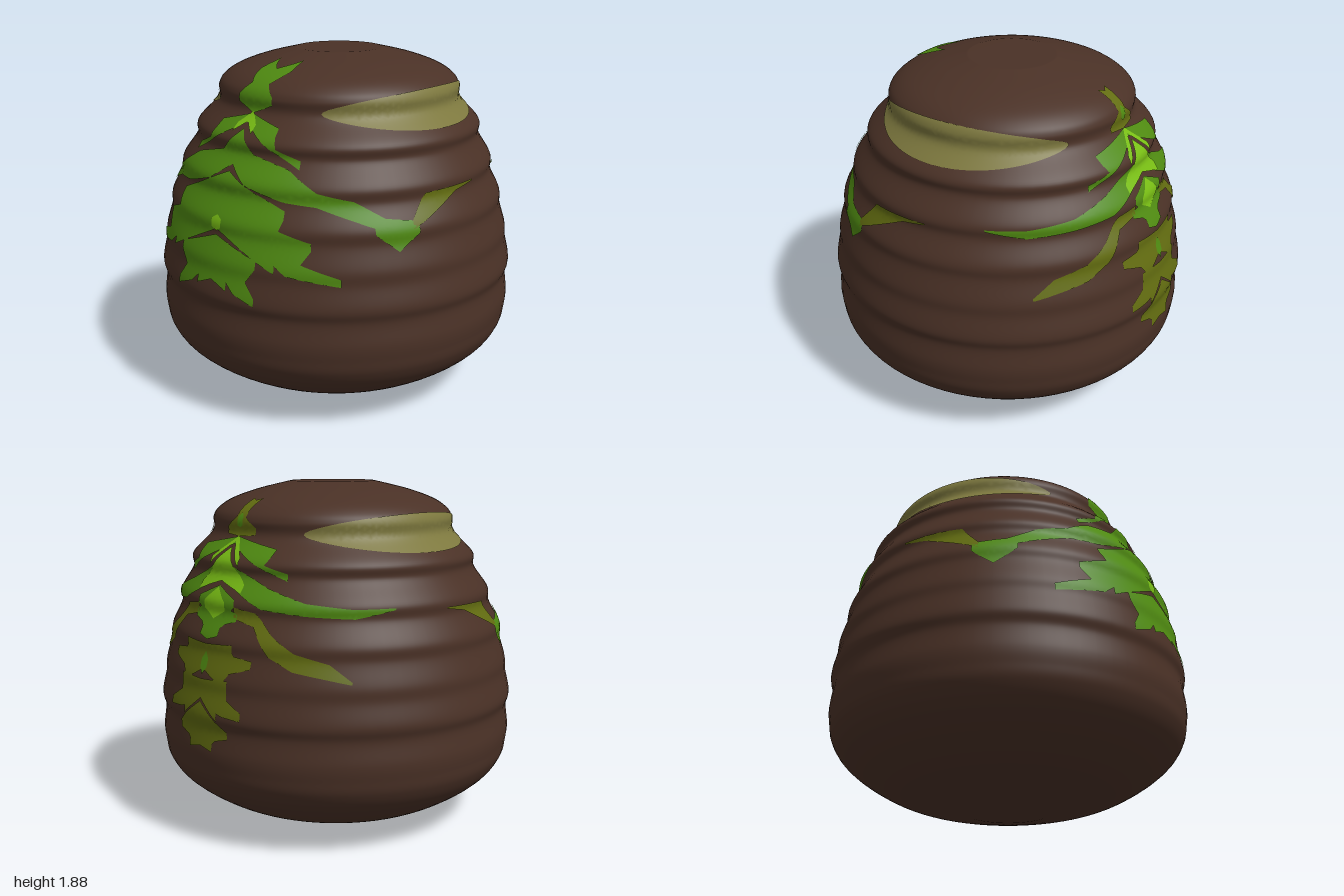
import * as THREE from 'three';

const paint = (name, color) => Object.assign(new THREE.MeshStandardMaterial({ color }), { name });

// Outer profile, bottom to top: rounded foot, seven coils with a notch above each, domed top
function makeProfile() {
  const points = [[0.25, 0], [0.43, 0.035], [0.63, 0.09], [0.79, 0.175], [0.91, 0.27], [0.97, 0.36], [0.988, 0.44]];
  const coils = [0.995, 0.998, 0.968, 0.928, 0.865, 0.785, 0.668];
  coils.forEach((r, i) => {
    const y = 0.52 + 0.195 * i;
    points.push([r, y]);
    if (i < coils.length - 1) points.push([Math.min(coils[i + 1] + 0.006, r - 0.012), y + 0.117]);
  });
  points.push([0.637, 1.74], [0.56, 1.79], [0.42, 1.84], [0.235, 1.885]);
  return new THREE.SplineCurve(points.map(([r, y]) => new THREE.Vector2(r, y))).getPoints(240);
}
const PROFILE = makeProfile();

function radius(y) {
  let i = 1;
  while (i < PROFILE.length - 1 && PROFILE[i].y < y) i++;
  const a = PROFILE[i - 1], b = PROFILE[i];
  return THREE.MathUtils.mapLinear(y, a.y, b.y, a.x, b.x);
}

// The upper coils lean slightly sideways
const lean = (y) => 0.026 * THREE.MathUtils.smoothstep(y, 1.1, 1.6);

function surfaceNormal(angle, y) {
  const slope = (radius(y + 0.008) - radius(y - 0.008)) / 0.016;
  return new THREE.Vector3(Math.sin(angle), -slope, Math.cos(angle)).normalize();
}

function surfacePoint(angle, y, lift) {
  const r = radius(y);
  return new THREE.Vector3(r * Math.sin(angle) + lean(y), y, r * Math.cos(angle))
    .addScaledVector(surfaceNormal(angle, y), lift);
}

// Thin patch that follows the coils; outline is [angle from centre, height]
function patch(name, material, outline, centre, lift) {
  const flat = new THREE.ShapeGeometry(new THREE.Shape(outline.map(([a, y]) => new THREE.Vector2(a, y))));
  const pos = flat.attributes.position, index = flat.index.array;
  const vertex = (a, y) => ({ a, y, p: surfacePoint(centre + a, y, lift) });
  const points = [], normals = [];
  // Halve the longest edge until the pieces are small enough to bend over the coils
  const split = (tri, depth) => {
    const len = [0, 1, 2].map((i) => tri[i].p.distanceTo(tri[(i + 1) % 3].p));
    const longest = len.indexOf(Math.max(...len));
    if (len[longest] > 0.035 && depth < 16) {
      const a = tri[longest], b = tri[(longest + 1) % 3], c = tri[(longest + 2) % 3];
      const m = vertex((a.a + b.a) / 2, (a.y + b.y) / 2);
      split([a, m, c], depth + 1);
      split([m, b, c], depth + 1);
      return;
    }
    for (const v of tri) {
      points.push(...v.p.toArray());
      normals.push(...surfaceNormal(centre + v.a, v.y).toArray());
    }
  };
  for (let i = 0; i < index.length; i += 3) {
    split([0, 1, 2].map((k) => vertex(pos.getX(index[i + k]), pos.getY(index[i + k]))), 0);
  }
  const geometry = new THREE.BufferGeometry();
  geometry.setAttribute('position', new THREE.Float32BufferAttribute(points, 3));
  geometry.setAttribute('normal', new THREE.Float32BufferAttribute(normals, 3));
  const mesh = new THREE.Mesh(geometry, material);
  mesh.name = name;
  return mesh;
}

// Half a lobed leaf: blunt tips, with a notch between neighbours pulled in to the stem
function leaf(top, bottom, tips, pinch = 0.8) {
  const outline = [[0, top]];
  tips.forEach(([u, y], i) => {
    outline.push([u, y + 0.02], [u, y - 0.02]);
    const next = tips[i + 1];
    if (next) outline.push([pinch * (u + next[0]) / 2, (y + next[1]) / 2]);
  });
  return [...outline, [0, bottom]];
}

// Tendril along [sideways, height, half thickness]
const tendril = (path) => [
  ...path.map(([u, y, h]) => [u, y + h]),
  ...path.map(([u, y, h]) => [u, y - h]).reverse(),
];

// Sideways distance to angle around the body
const fromWidth = ([w, y]) => [Math.asin(w / radius(y)), y];
const fromDegrees = ([d, y]) => [THREE.MathUtils.degToRad(d), y];

// Fern whose parts are mirrored about its stem; returns the group and a function that adds a part
function makeFern(name, convert, centre) {
  const group = new THREE.Group();
  group.name = name;
  const add = (part, material, outline, lift = 0.005) => {
    const half = outline.map(convert);
    group.add(patch(part + 'A', material, half, centre, lift));
    group.add(patch(part + 'B', material, half.map(([a, y]) => [-a, y]), centre, lift));
  };
  return { group, add };
}

export function createModel() {
  const brown = paint('brown', 0x4a3126);
  const straw = paint('straw', 0x7d783e);
  const olive = paint('olive', 0x626c10);
  const green = paint('green', 0x4f8a11);
  const bright = paint('brightGreen', 0x78bd14);
  const model = new THREE.Group();
  model.name = 'coiledHive';

  // Coiled body
  const bodyGeometry = new THREE.LatheGeometry([...PROFILE, new THREE.Vector2(0, 1.885)], 72);
  const bp = bodyGeometry.attributes.position;
  for (let i = 0; i < bp.count; i++) bp.setX(i, bp.getX(i) + lean(bp.getY(i)));
  const body = new THREE.Mesh(bodyGeometry, brown);
  body.name = 'coiledBody';
  model.add(body);

  // Base disc, with its normals turned inward
  const baseGeometry = new THREE.CircleGeometry(0.25, 72).rotateX(Math.PI / 2);
  const bn = baseGeometry.attributes.normal;
  for (let i = 0; i < bn.count; i++) bn.setXYZ(i, 0, 1, 0);
  const base = new THREE.Mesh(baseGeometry, brown);
  base.name = 'baseDisc';
  model.add(base);

  // Oval straw patches, front and back
  const oval = Array.from({ length: 48 }, (_, i) => {
    const t = (i / 48) * Math.PI * 2;
    return fromWidth([0.56 * Math.cos(t), 1.632 + 0.098 * Math.sin(t)]);
  });
  model.add(patch('frontOval', straw, oval, 0, 0.005), patch('backOval', straw, oval, Math.PI, 0.005));

  // Left fern, sized by width: sprig, stacked leaves and two tendrils
  const left = makeFern('leftFern', fromWidth, Math.PI / 2);
  left.add('topSprig', olive, leaf(1.79, 1.61, [[0.035, 1.78], [0.11, 1.64]], 0.5));
  left.add('sprigHeart', green, leaf(1.73, 1.66, [[0.02, 1.69]]), 0.008);
  left.add('upperLeaf', green, leaf(1.61, 1.575, [[0.28, 1.54], [0.38, 1.43]]));
  left.add('upperLeafHeart', bright, leaf(1.615, 1.585, [[0.11, 1.49]]), 0.008);
  left.add('crownLeaf', bright, leaf(1.56, 1.39, [[0.165, 1.36]]), 0.008);
  left.add('longTendril', green, tendril([[0.08, 1.42, 0.05], [0.3, 1.325, 0.05], [0.5, 1.282, 0.03], [0.68, 1.262, 0.024], [0.79, 1.283, 0.004]]));
  left.add('middleLeaf', green, leaf(1.37, 1.1, [[0.14, 1.29], [0.16, 1.22], [0.07, 1.14]]));
  left.add('middleLeafHeart', bright, leaf(1.36, 1.2, [[0.08, 1.27]]), 0.008);
  left.add('archedTendril', olive, tendril([[0.14, 1.245, 0.03], [0.27, 1.22, 0.035], [0.38, 1.1, 0.05], [0.5, 1.03, 0.045], [0.64, 0.99, 0.035], [0.735, 0.935, 0.006]]));
  left.add('lowerLeaf', olive, leaf(1.08, 0.95, [[0.18, 1.07], [0.3, 1.0], [0.16, 0.89]]));
  left.add('lowerLeafHeart', green, leaf(1.04, 0.92, [[0.025, 0.98]]), 0.008);
  left.add('bottomLeaf', olive, leaf(0.9, 0.8, [[0.18, 0.89], [0.28, 0.74], [0.13, 0.72]]));
  left.add('tailLeaf', olive, leaf(0.785, 0.55, [[0.19, 0.63], [0.09, 0.55]]));
  model.add(left.group);

  // Right fern, sized by degrees: its long tendril reaches round to the front and back
  const right = makeFern('rightFern', fromDegrees, -Math.PI / 2);
  right.add('topSprig', green, leaf(1.815, 1.61, [[12, 1.83], [10, 1.68]], 0.5));
  right.add('upperLeaf', green, leaf(1.61, 1.57, [[16, 1.54], [27, 1.4]]));
  right.add('upperLeafHeart', bright, leaf(1.62, 1.57, [[5, 1.54]]), 0.008);
  right.add('longTendril', green, tendril([[0, 1.455, 0.085], [8, 1.36, 0.07], [23, 1.305, 0.075], [34, 1.25, 0.035], [46, 1.2, 0.045], [56, 1.13, 0.03], [65, 1.12, 0.02]]));
  right.add('hangingTuft', green, tendril([[52.5, 1.12, 0.03], [60, 1.06, 0.065], [67, 1.1, 0.02]]));
  right.add('tendrilTip', olive, tendril([[65, 1.12, 0.02], [71, 1.2, 0.06], [79, 1.23, 0.035], [85, 1.252, 0.015], [94, 1.265, 0.004]]));
  right.add('lowerLeaf', green, leaf(1.34, 1.06, [[24, 1.17], [33, 1.03], [42, 0.86], [22, 0.91]]));
  right.add('lowerLeafHeart', bright, leaf(1.13, 1.05, [[2, 1.09]]), 0.008);
  right.add('tailLeaf', green, leaf(1.03, 0.8, [[16, 0.92], [16, 0.73], [6, 0.78]]));
  model.add(right.group);
  return model;
}
